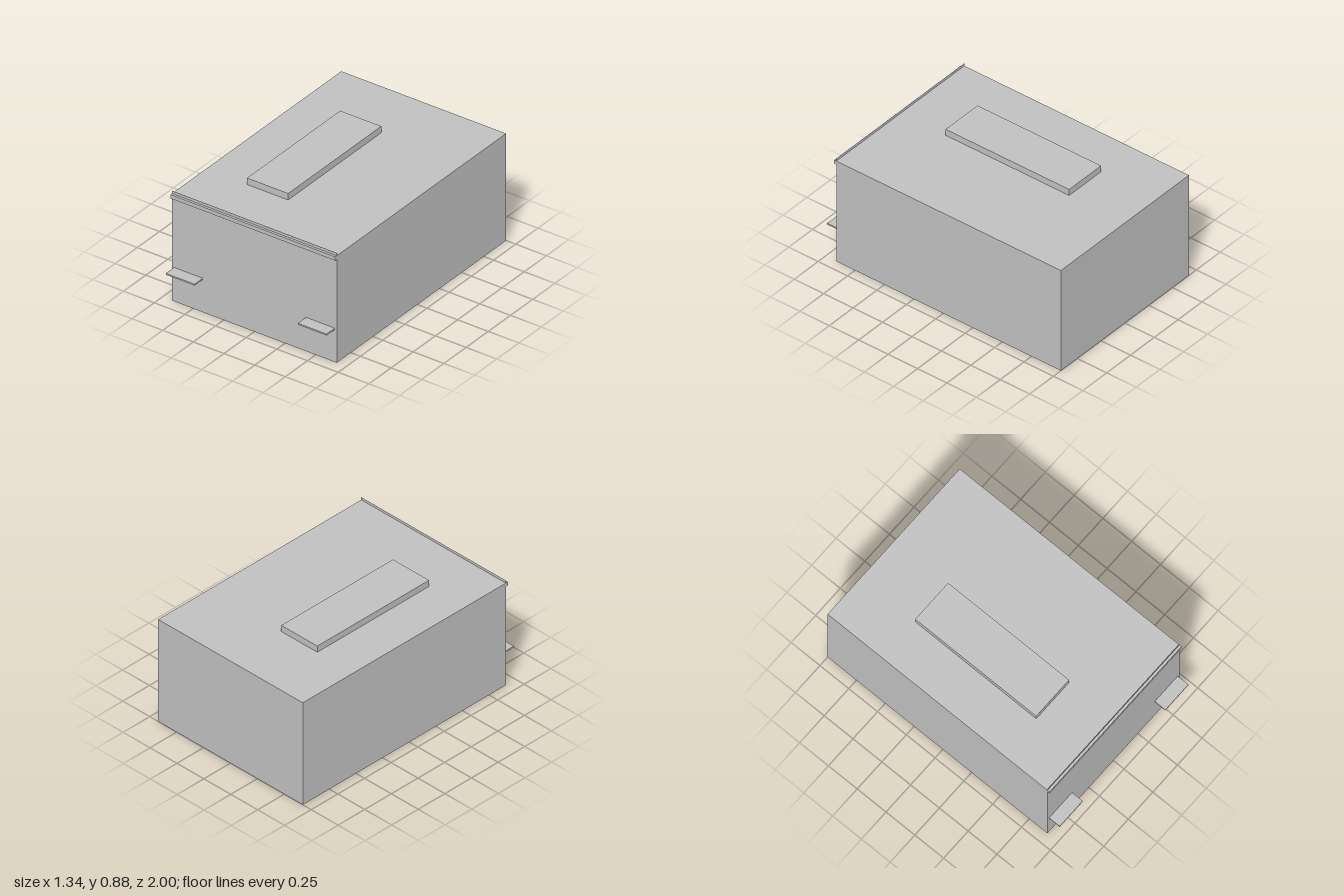
import * as THREE from 'three';

const grey = new THREE.MeshStandardMaterial({ color: 0xc0c0c0, side: THREE.DoubleSide });
grey.name = 'light grey';

// box between two corners, leaving out the listed sides (0..5 = +x -x +y -y +z -z)
function shell(name, [x0, y0, z0], [x1, y1, z1], skip = []) {
  const geo = new THREE.BoxGeometry(x1 - x0, y1 - y0, z1 - z0);
  geo.translate((x0 + x1) / 2, (y0 + y1) / 2, (z0 + z1) / 2);
  const index = Array.from(geo.index.array);
  geo.setIndex(index.filter((_, i) => !skip.includes(Math.floor(i / 6))));
  geo.clearGroups();
  const mesh = new THREE.Mesh(geo, grey);
  mesh.name = name;
  return mesh;
}

export function createModel() {
  const model = new THREE.Group();
  model.name = 'canopy';
  const W = 0.672, back = -1, front = 0.908, roofY = 0.829;
  const hatch = { x0: -0.337, x1: -0.002, z: 0.525, top: 0.879 };

  // four thin walls, open below
  model.add(shell('walls', [-W, 0, back], [W, roofY, front], [2, 3]));

  // roof sheet with an opening under the raised hatch
  const sheet = new THREE.Shape();
  sheet.moveTo(-W, -front).lineTo(W, -front).lineTo(W, -back).lineTo(-W, -back).closePath();
  const hole = new THREE.Path();
  hole.moveTo(hatch.x0, -hatch.z).lineTo(hatch.x0, hatch.z)
    .lineTo(hatch.x1, hatch.z).lineTo(hatch.x1, -hatch.z).closePath();
  sheet.holes.push(hole);
  const roof = new THREE.Mesh(new THREE.ShapeGeometry(sheet).rotateX(-Math.PI / 2), grey);
  roof.position.y = roofY;
  roof.name = 'roof';
  model.add(roof);

  // raised hatch, hollow from below
  model.add(shell('roofHatch', [hatch.x0, roofY, -hatch.z], [hatch.x1, hatch.top, hatch.z], [3]));

  // trim along the upper front edge, with a thin upright lip
  model.add(shell('frontTrim', [-W, 0.8, front], [W, roofY, 0.926], [5]));
  const lip = new THREE.Mesh(new THREE.PlaneGeometry(2 * W, 0.85 - roofY), grey);
  lip.position.set(0, (0.85 + roofY) / 2, front);
  lip.name = 'frontLip';
  model.add(lip);

  // two small shelves on the front
  for (const [name, x] of [['leftShelf', 0.538], ['rightShelf', -0.538]]) {
    model.add(shell(name, [x - 0.117, 0.251, front], [x + 0.117, 0.262, 1]));
  }
  return model;
}
